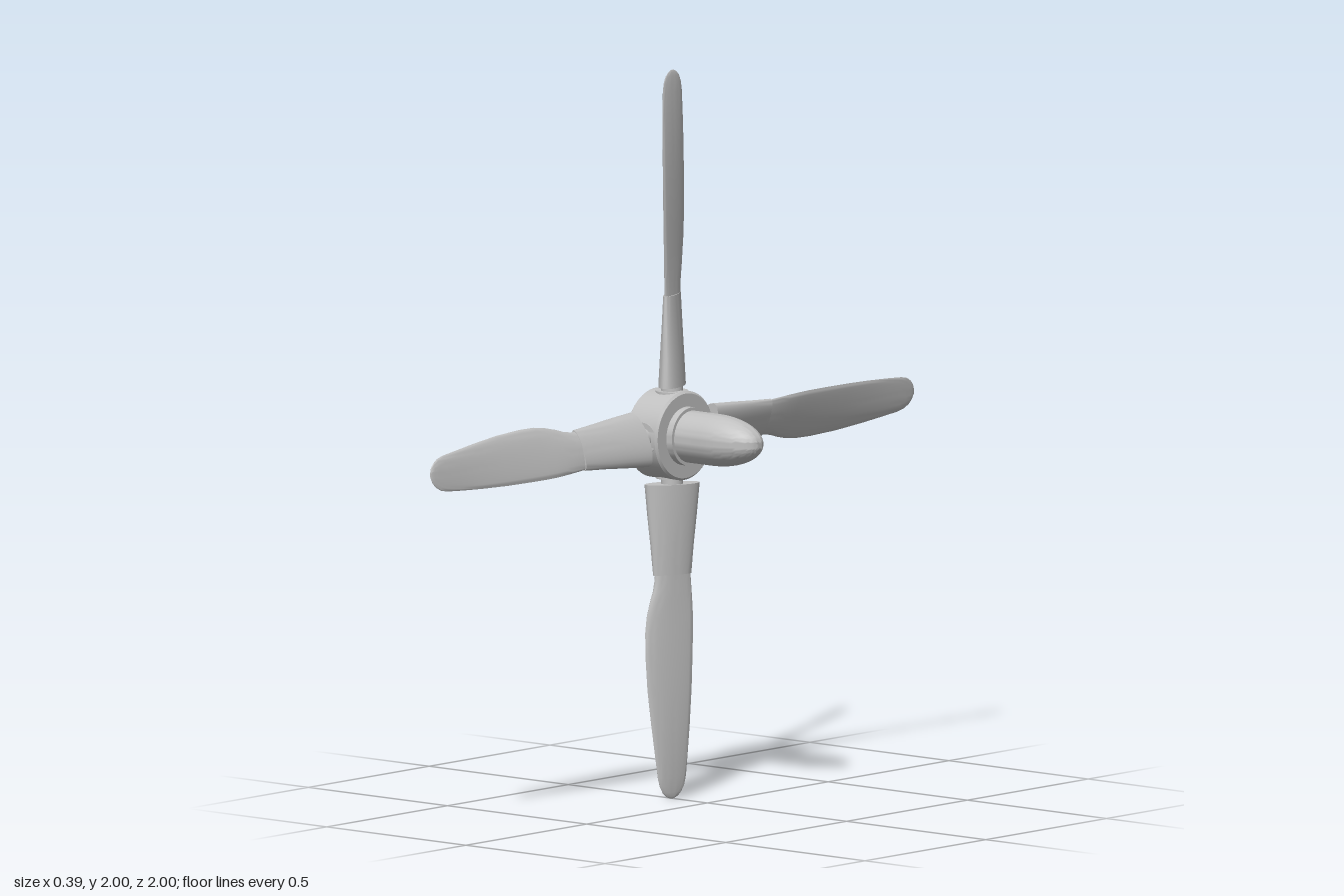
import * as THREE from 'three';
import { toCreasedNormals } from 'three/addons/utils/BufferGeometryUtils.js';

const AXIS_X = -0.127; // plane of the blades

// Closed loft along +y from rows of [radius, leading, trailing, half thickness, pitch in degrees].
// taper > 0 thins the trailing edge like an airfoil.
function loft(rows, taper) {
  const n = 32, pos = [], index = [];
  rows = [[...rows[0]], ...rows, [...rows.at(-1)]];
  for (const end of [rows[0], rows.at(-1)]) for (const k of [1, 2, 3]) end[k] *= 0.001;
  rows.forEach(([r, lead, trail, thick, deg], i) => {
    const a = THREE.MathUtils.degToRad(deg), s = Math.sin(a), c = Math.cos(a);
    for (let j = 0; j < n; j++) {
      const t = (j / n) * Math.PI * 2;
      const u = ((lead + trail) / 2 * Math.cos(t) + (lead - trail) / 2) / c;
      const v = thick * Math.sin(t) * (1 + taper * Math.cos(t));
      pos.push(-s * u - c * v, r, -c * u + s * v);
      if (i === rows.length - 1) continue;
      const p = i * n + j, q = i * n + (j + 1) % n;
      index.push(p, q, q + n, p, q + n, p + n);
    }
  });
  const g = new THREE.BufferGeometry();
  g.setAttribute('position', new THREE.Float32BufferAttribute(pos, 3));
  g.setIndex(index);
  return toCreasedNormals(g, 0.7);
}

// Turned part around the x axis; points are [radius, x].
function turned(points) {
  const g = new THREE.LatheGeometry(points.map(([r, x]) => new THREE.Vector2(r, x)), 64);
  g.rotateZ(-Math.PI / 2);
  return toCreasedNormals(g, 0.6);
}

export function createModel() {
  const model = new THREE.Group();
  model.name = 'propeller';
  const metal = new THREE.MeshStandardMaterial({ color: 0xc0c0c0 });
  metal.name = 'light grey metal';
  const add = (parent, name, geometry) => {
    const mesh = new THREE.Mesh(geometry, metal);
    mesh.name = name;
    parent.add(mesh);
    return mesh;
  };

  // Hub drum with a raised, recessed plate on its back face
  add(model, 'hub', turned([
    [0, -0.19], [0.028, -0.19], [0.028, -0.196], [0.074, -0.196], [0.074, -0.19],
    [0.116, -0.19], [0.122, -0.184], [0.122, -0.084], [0.116, -0.078], [0, -0.078],
  ]));
  add(model, 'spinnerCollar', turned([[0, -0.08], [0.08, -0.08], [0.08, -0.058], [0, -0.058]]));

  // Bullet-shaped spinner
  const nose = [[0.071, -0.065]];
  for (let i = 0; i <= 20; i++) {
    const t = (i / 20) * Math.PI / 2;
    nose.push([0.071 * Math.cos(t), 0.03 + 0.16 * Math.sin(t)]);
  }
  add(model, 'spinner', turned(nose));

  // Blade parts, shared by all four arms
  const cuff = loft([
    [0.135, 0.07, 0.07, 0.034, 28],
    [0.22, 0.065, 0.065, 0.028, 26],
    [0.30, 0.059, 0.059, 0.022, 24],
    [0.385, 0.053, 0.054, 0.016, 22],
  ], 0);
  const blade = loft([
    [0.37, 0.047, 0.05, 0.014, 22],
    [0.40, 0.049, 0.053, 0.013, 22],
    [0.43, 0.054, 0.055, 0.0125, 22],
    [0.46, 0.063, 0.057, 0.012, 22],
    [0.50, 0.072, 0.059, 0.011, 22],
    [0.54, 0.077, 0.06, 0.0105, 21],
    [0.60, 0.078, 0.06, 0.01, 20],
    [0.70, 0.074, 0.059, 0.009, 18],
    [0.80, 0.065, 0.056, 0.008, 15],
    [0.88, 0.056, 0.052, 0.007, 12],
    [0.94, 0.049, 0.048, 0.006, 10],
    [0.965, 0.043, 0.043, 0.005, 9],
    [0.983, 0.033, 0.033, 0.004, 8],
    [0.994, 0.021, 0.021, 0.003, 8],
    [1.0, 0.007, 0.007, 0.0015, 8],
  ], 0.3);
  const shank = new THREE.CylinderGeometry(0.03, 0.03, 0.1, 32).translate(0, 0.1, 0);
  const socket = new THREE.CylinderGeometry(0.045, 0.045, 0.06, 32).translate(0, 0.09, 0);

  for (let i = 0; i < 4; i++) {
    const arm = new THREE.Group();
    arm.name = 'bladeArm' + (i + 1);
    arm.position.x = AXIS_X;
    arm.rotation.x = i * Math.PI / 2;
    add(arm, 'socket', socket);
    add(arm, 'shank', shank);
    add(arm, 'cuff', cuff);
    add(arm, 'blade', blade);
    model.add(arm);
  }

  // Lift everything so the lowest tip touches the ground
  model.children.forEach((part) => { part.position.y += 1; });
  return model;
}
